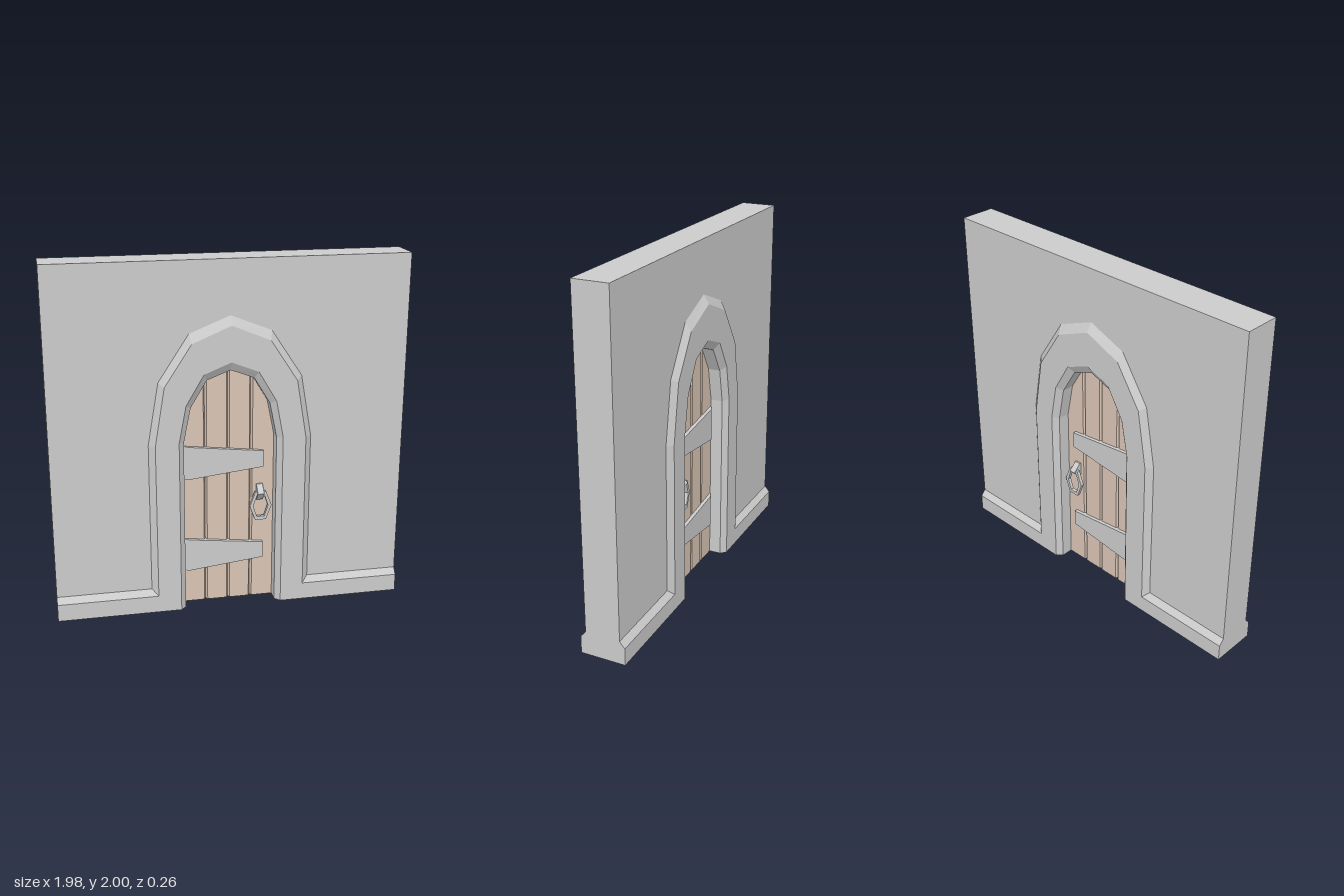
import * as THREE from 'three';

const stone = new THREE.MeshStandardMaterial({ color: 0xcccccc, flatShading: true });
const wood = new THREE.MeshStandardMaterial({ color: 0xdac5b5, flatShading: true });

const WALL = 0.1, TRIM = 0.13, HALF = 0.99;

// Right half of each arch outline, from the floor to the apex
const OPENING = [[0.26, 0], [0.26, 1.0], [0.22, 1.2], [0.13, 1.35], [0, 1.4]];
const INNER = [[0.29, 0], [0.29, 1.01], [0.25, 1.22], [0.15, 1.39], [0, 1.45]];
const OUTER = [[0.42, 0], [0.42, 1.0], [0.365, 1.33], [0.215, 1.56], [0, 1.65]];
const EDGE = [[0.455, 0], [0.455, 1.0], [0.395, 1.35], [0.225, 1.61], [0, 1.7]];

// Whole outline, left foot over the apex to right foot
const fullArch = half => [
  ...half.map(([x, y]) => [-x, y]),
  ...half.slice(0, -1).reverse(),
];

const toShape = pts => new THREE.Shape(pts.map(([x, y]) => new THREE.Vector2(x, y)));
const extrude = (shape, depth) =>
  new THREE.ExtrudeGeometry(shape, { depth, bevelEnabled: false });

// Extrude a (z, y) profile along x between x0 and x1
const alongX = (pts, x0, x1) =>
  extrude(toShape(pts), x1 - x0).rotateY(-Math.PI / 2).translate(x1, 0, 0);

// Extrude an (x, z) plan upwards, then set bottom and top heights by x
function alongY(pts, bottom, top) {
  const geo = extrude(toShape(pts.map(([x, z]) => [x, -z])), 1).rotateX(-Math.PI / 2);
  const p = geo.attributes.position;
  for (let i = 0; i < p.count; i++) {
    p.setY(i, p.getY(i) > 0.5 ? top(p.getX(i)) : bottom(p.getX(i)));
  }
  geo.computeVertexNormals();
  return geo;
}

// Height of the door opening at x
function openingHeight(x) {
  const a = Math.abs(x);
  for (let i = OPENING.length - 1; i > 1; i--) {
    const [x0, y0] = OPENING[i], [x1, y1] = OPENING[i - 1];
    if (a <= x1 + 1e-6) return y0 + (y1 - y0) * (a - x0) / (x1 - x0);
  }
  return OPENING[1][1];
}

// Bevelled band around the arch: inner bevel, face, outer bevel, foot caps
function archTrimGeometry() {
  const rings = [[OPENING, WALL], [INNER, TRIM], [OUTER, TRIM], [EDGE, WALL]]
    .map(([half, z]) => fullArch(half).map(([x, y]) => new THREE.Vector3(x, y, z)));
  const verts = [];
  const quad = (a, b, c, d) => verts.push(a, b, c, a, c, d);
  const last = rings[0].length - 1;
  for (let r = 0; r < 3; r++) {
    for (let i = 0; i < last; i++) {
      quad(rings[r][i], rings[r][i + 1], rings[r + 1][i + 1], rings[r + 1][i]);
    }
  }
  quad(...rings.map(r => r[0]));
  quad(...rings.map(r => r[last]).reverse());
  const geo = new THREE.BufferGeometry().setFromPoints(verts);
  geo.computeVertexNormals();
  return geo;
}

// Door plan with V grooves between the four planks
function doorGeometry() {
  const t = 0.03, g = 0.009;
  const face = [[-0.26, t], [-0.22, t]];
  for (const s of [-0.13, 0, 0.13]) face.push([s - g, t], [s, t - 0.018], [s + g, t]);
  face.push([0.22, t], [0.26, t]);
  const back = face.map(([x, z]) => [x, -z]);
  return alongY([...back, ...face.reverse()], () => 0, openingHeight);
}

export function createModel() {
  const model = new THREE.Group();
  model.name = 'archedDoorway';
  const add = (name, geo, mat = stone, parent = model) => {
    const mesh = new THREE.Mesh(geo, mat);
    mesh.name = name;
    parent.add(mesh);
    return mesh;
  };

  // Wall with the door opening cut from its lower edge
  const wall = toShape([
    [-HALF, 0], ...fullArch(OPENING), [HALF, 0], [HALF, 2], [-HALF, 2],
  ]);
  add('wall', extrude(wall, 2 * WALL).translate(0, 0, -WALL));

  // Plinth on both sides of the doorway
  const plinth = [
    [-TRIM, 0], [TRIM, 0], [TRIM, 0.1], [WALL, 0.135], [-WALL, 0.135], [-TRIM, 0.1],
  ];
  add('rightPlinth', alongX(plinth, -HALF, -0.42));
  add('leftPlinth', alongX(plinth, 0.42, HALF));

  // Arch surround, front and back
  const trim = archTrimGeometry();
  add('frontArchTrim', trim);
  add('backArchTrim', trim).rotation.y = Math.PI;

  // Plank door
  add('door', doorGeometry(), wood);

  // Tapered strap hinges, two on each face
  const halfHeight = x => 0.1 - 0.0525 * (x + 0.26) / 0.46;
  const strap = alongY(
    [[-0.26, 0.02], [0.2, 0.02], [0.2, 0.05], [-0.225, 0.05], [-0.26, 0.03]].reverse(),
    x => -halfHeight(x), halfHeight);
  for (const y of [0.3, 0.86]) {
    for (const [side, turn] of [['front', 0], ['back', Math.PI]]) {
      const hinge = add(side + 'Hinge', strap, stone);
      hinge.position.y = y;
      hinge.rotation.x = turn;
    }
  }

  // Hexagonal ring handle hanging from a wedge bracket, on each face
  const hexagon = (w, h) => [[w, 0], [w / 2, h], [-w / 2, h], [-w, 0], [-w / 2, -h], [w / 2, -h]];
  const ringShape = toShape(hexagon(0.063, 0.085));
  ringShape.holes.push(toShape(hexagon(0.043, 0.065)));
  const ring = extrude(ringShape, 0.02).translate(0, 0.585, 0.055);
  const bracket = alongX(
    [[0.02, 0.61], [0.04, 0.61], [0.085, 0.66], [0.04, 0.705], [0.02, 0.705]], -0.018, 0.018);
  for (const [side, turn] of [['front', 0], ['back', Math.PI]]) {
    const handle = new THREE.Group();
    handle.name = side + 'Handle';
    add('ring', ring, stone, handle);
    add('bracket', bracket, stone, handle);
    handle.position.x = 0.18;
    handle.rotation.y = turn;
    model.add(handle);
  }

  return model;
}
